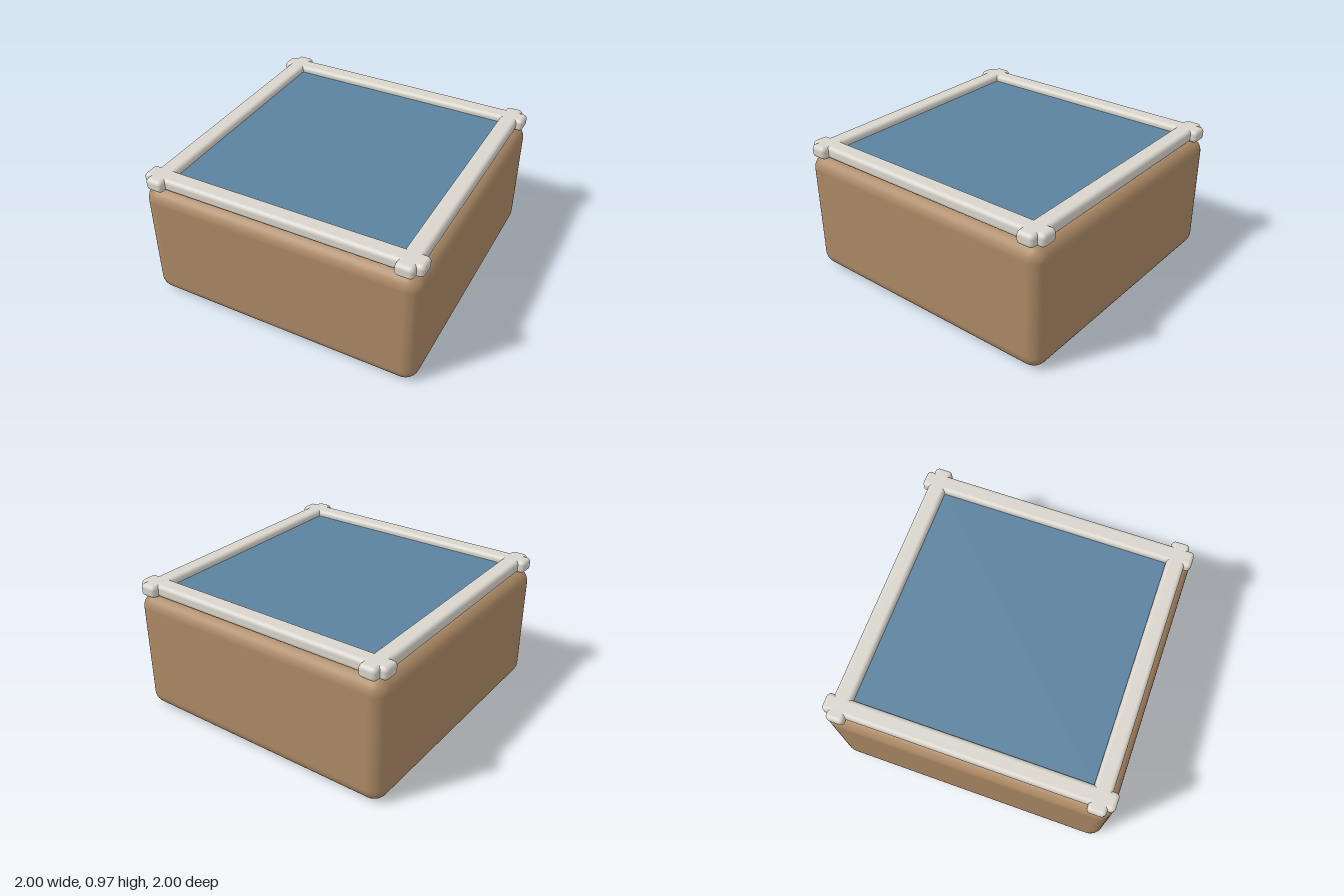
import * as THREE from 'three';
import { RoundedBoxGeometry } from 'three/addons/geometries/RoundedBoxGeometry.js';

const paint = (name, color) => {
  const material = new THREE.MeshStandardMaterial({ color });
  material.name = name;
  return material;
};

export function createModel() {
  const group = new THREE.Group();
  group.name = 'framedBox';
  const brown = paint('brown', 0xac8965);
  const offWhite = paint('offWhite', 0xd9d5cc);
  const blue = paint('blue', 0x5b829f);

  const add = (name, geometry, material, x, y, z) => {
    const mesh = new THREE.Mesh(geometry, material);
    mesh.name = name;
    mesh.position.set(x, y, z);
    group.add(mesh);
    return mesh;
  };

  // Soft-edged body
  add('body', new RoundedBoxGeometry(2, 0.88, 2, 4, 0.1), brown, 0, 0.44, 0);

  // Flat panel set inside the frame
  add('topPanel', new THREE.BoxGeometry(1.68, 0.05, 1.68), blue, 0, 0.9, 0);

  // Four rails crossing at the corners
  const rail = new RoundedBoxGeometry(2, 0.09, 0.127, 4, 0.03);
  for (const side of [-1, 1]) {
    add(side > 0 ? 'frontRail' : 'backRail', rail, offWhite, 0, 0.925, side * 0.89);
    add(side > 0 ? 'leftRail' : 'rightRail', rail, offWhite, side * 0.89, 0.925, 0).rotation.y = Math.PI / 2;
  }
  return group;
}
